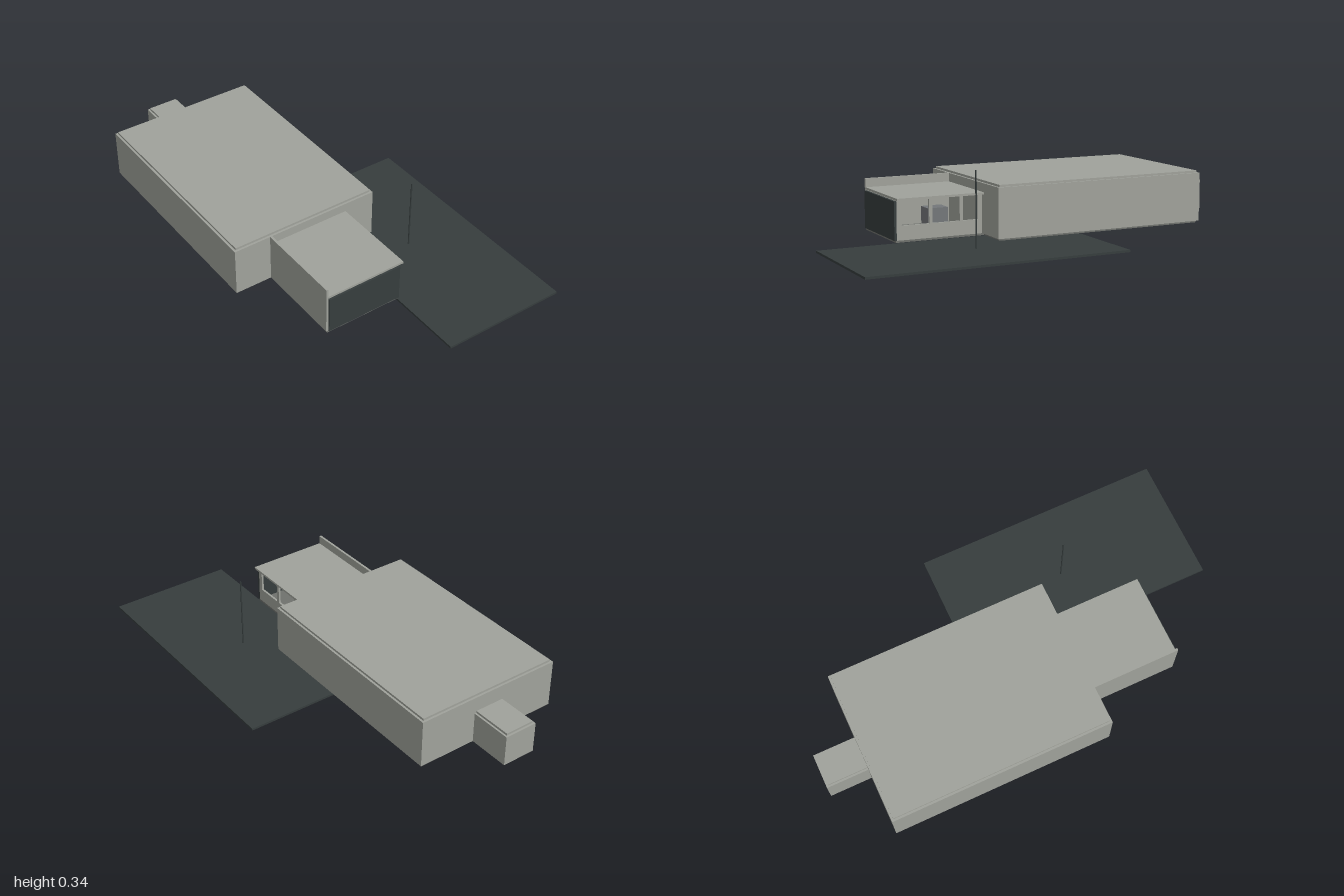
import * as THREE from 'three';

export function createModel() {
  const group = new THREE.Group();
  group.name = 'building';
  const mat = (name, color) => {
    const m = new THREE.MeshStandardMaterial({ color });
    m.name = name;
    return m;
  };
  const wall = mat('concreteGrey', 0xa0a29b);
  const base = mat('foundationGrey', 0x6f716d);
  const dark = mat('darkSlate', 0x363d3d);
  const desk = mat('deskGrey', 0x74777a);

  const add = (name, geometry, material) => {
    const m = new THREE.Mesh(geometry, material);
    m.name = name;
    group.add(m);
    return m;
  };
  // Box given by its extents on each axis
  const box = (name, material, x0, x1, y0, y1, z0, z1) =>
    add(name, new THREE.BoxGeometry(x1 - x0, y1 - y0, z1 - z0), material)
      .position.set((x0 + x1) / 2, (y0 + y1) / 2, (z0 + z1) / 2);

  // Block with an inset roof cap and an inset foundation
  const block = (name, x0, x1, y1, z0, z1, i) => {
    box(name + 'Walls', wall, x0, x1, 0.021, y1, z0, z1);
    box(name + 'Roof', wall, x0 + i, x1 - i, y1, y1 + 0.01, z0 + i, z1 - i);
    box(name + 'Foundation', base, x0 + i, x1 - i, 0.012, 0.021, z0 + i, z1 - i);
  };
  block('hall', -0.565, 0.15, 0.247, -0.805, 0.235, 0.01);
  block('rearRoom', -0.29, -0.13, 0.166, -1, -0.795, 0.009);

  // Entrance annex: floor, tall side wall, front panel, roof slab
  box('annexFloor', base, -0.385, -0.017, 0.012, 0.021, 0.225, 0.645);
  box('annexTallWall', wall, -0.39, -0.379, 0.021, 0.247, 0.235, 0.645);
  box('annexFrontPanel', dark, -0.379, -0.017, 0.021, 0.193, 0.64, 0.651);
  box('annexRoof', wall, -0.379, 0.003, 0.197, 0.207, 0.235, 0.645);

  // Window wall, drawn in z and y, then turned to face +x
  const rect = (T, z0, z1, y0, y1) => {
    const s = new T();
    s.moveTo(z0, y0).lineTo(z1, y0).lineTo(z1, y1).lineTo(z0, y1).closePath();
    return s;
  };
  const side = rect(THREE.Shape, 0.235, 0.64, 0.021, 0.197);
  for (const [z0, z1] of [[0.257, 0.327], [0.343, 0.472], [0.488, 0.617]])
    side.holes.push(rect(THREE.Path, z0, z1, 0.085, 0.195));
  const sideGeo = new THREE.ExtrudeGeometry(side, { depth: 0.01, bevelEnabled: false });
  sideGeo.rotateY(-Math.PI / 2).translate(-0.017, 0, 0);
  add('annexWindowWall', sideGeo, wall);

  // Desk seen through the middle window
  box('desk', desk, -0.2, -0.12, 0.021, 0.133, 0.355, 0.45);

  // Paved yard with a slim mast
  box('yard', dark, -0.02, 0.565, 0, 0.01, -0.178, 1);
  add('mast', new THREE.CylinderGeometry(0.0035, 0.0035, 0.335, 8), dark)
    .position.set(0.245, 0.1775, 0.385);

  return group;
}
